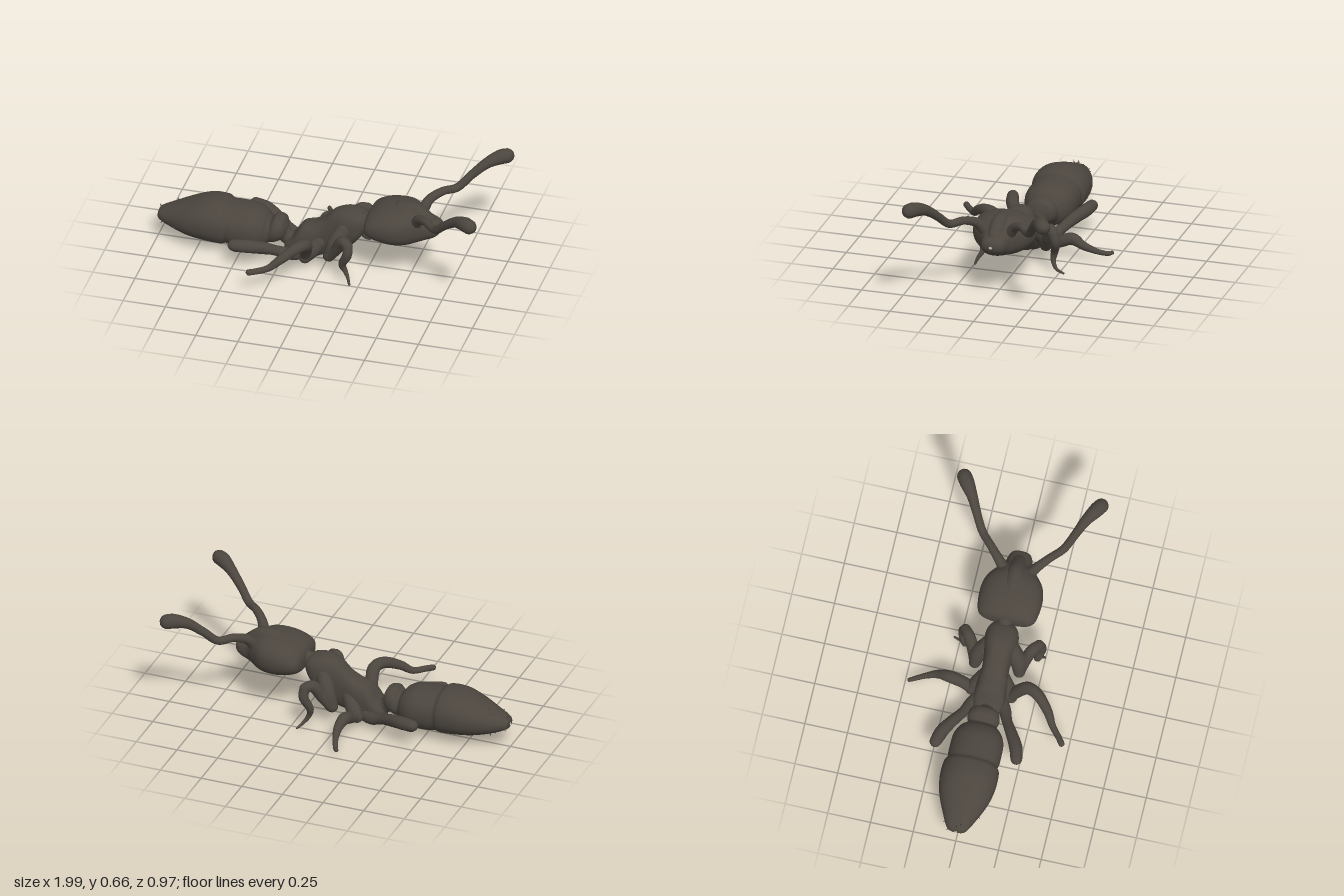
import * as THREE from 'three';

// Skin a list of rings (each an array of Vector3, same count) as one smooth surface
function skin(rings) {
  const n = rings[0].length, index = [];
  for (let i = 0; i < rings.length - 1; i++) {
    for (let j = 0; j < n; j++) {
      const k = (j + 1) % n, a = i * n + j, b = i * n + k, c = a + n, d = b + n;
      index.push(a, b, c, b, d, c);
    }
  }
  const geo = new THREE.BufferGeometry().setFromPoints(rings.flat());
  geo.setIndex(index);
  geo.computeVertexNormals();
  return geo;
}

// Body segment from stations [x, top, bottom, halfWidth], with superellipse sections
function bodyGeometry(stations, power = 2.2, steps = 6, sides = 40) {
  const curve = (f) => new THREE.CatmullRomCurve3(stations.map(f), false, 'catmullrom', 0.5);
  const profile = curve((s) => new THREE.Vector3(s[0], s[1], s[2]));
  const width = curve((s) => new THREE.Vector3(s[3], 0, 0));
  const shape = (v) => Math.sign(v) * Math.abs(v) ** (2 / power);
  const rings = [], count = (stations.length - 1) * steps;
  for (let i = 0; i <= count; i++) {
    const p = profile.getPoint(i / count), w = Math.max(width.getPoint(i / count).x, 0.001);
    const mid = (p.y + p.z) / 2, h = (p.y - p.z) / 2, ring = [];
    for (let j = 0; j < sides; j++) {
      const a = (j / sides) * Math.PI * 2;
      ring.push(new THREE.Vector3(p.x, mid + h * shape(Math.cos(a)), w * shape(Math.sin(a))));
    }
    rings.push(ring);
  }
  return skin(rings);
}

// Round-ended limb through points [x, y, z, radius]
function limbGeometry(points, sides = 16) {
  const path = new THREE.CatmullRomCurve3(points.map((p) => new THREE.Vector3(p[0], p[1], p[2])), false, 'catmullrom', 0.5);
  const radii = new THREE.CatmullRomCurve3(points.map((p) => new THREE.Vector3(p[3], 0, 0)), false, 'catmullrom', 0.5);
  const count = (points.length - 1) * 7;
  path.arcLengthDivisions = 400;
  const frames = path.computeFrenetFrames(count, false);
  const rings = [];
  const addRing = (i, along, scale) => {
    const t = path.getUtoTmapping(i / count);
    const r = radii.getPoint(t).x, c = path.getPoint(t).addScaledVector(frames.tangents[i], along * r);
    rings.push(Array.from({ length: sides }, (_, j) => {
      const a = (j / sides) * Math.PI * 2;
      return c.clone()
        .addScaledVector(frames.normals[i], Math.cos(a) * r * scale)
        .addScaledVector(frames.binormals[i], Math.sin(a) * r * scale);
    }));
  };
  const cap = [0.02, 0.4, 0.8, 1.2];
  cap.forEach((a) => addRing(0, -Math.cos(a), Math.sin(a)));
  for (let i = 0; i <= count; i++) addRing(i, 0, 1);
  cap.slice().reverse().forEach((a) => addRing(count, Math.cos(a), Math.sin(a)));
  return skin(rings);
}

export function createModel() {
  const model = new THREE.Group();
  model.name = 'ant';
  const shell = new THREE.MeshStandardMaterial({ color: 0x4b453e });
  shell.name = 'dark brown shell';

  const add = (name, geometry) => {
    const mesh = new THREE.Mesh(geometry, shell);
    mesh.name = name;
    model.add(mesh);
    return mesh;
  };
  const mirror = (points) => points.map(([x, y, z, r]) => [x, y, -z, r]);
  const pair = (name, points) => {
    add(name + 'Left', limbGeometry(mirror(points)));
    add(name + 'Right', limbGeometry(points));
  };

  // Abdomen with a groove between its two big plates
  add('abdomen', bodyGeometry([
    [-1, 0.16, 0.14, 0.01], [-0.985, 0.185, 0.12, 0.055], [-0.9, 0.225, 0.085, 0.1],
    [-0.8, 0.268, 0.06, 0.143], [-0.7, 0.302, 0.047, 0.164], [-0.61, 0.304, 0.04, 0.162],
    [-0.575, 0.286, 0.046, 0.147], [-0.53, 0.284, 0.036, 0.151], [-0.43, 0.28, 0.036, 0.147],
    [-0.37, 0.255, 0.05, 0.12], [-0.335, 0.22, 0.075, 0.086], [-0.3, 0.248, 0.085, 0.094],
    [-0.255, 0.24, 0.11, 0.08], [-0.235, 0.2, 0.14, 0.04], [-0.23, 0.18, 0.16, 0.005],
  ]));

  // Small bristles around the abdomen tip
  for (let i = 0; i < 14; i++) {
    const a = i * 2.4, x = -0.985 + (i % 7) * 0.018, k = 0.055 + (x + 0.985) * 0.5;
    const bristle = add('tailBristle', new THREE.ConeGeometry(0.008, 0.028, 6));
    bristle.position.set(x, 0.153 + Math.cos(a) * k * 0.75, Math.sin(a) * k);
    const out = new THREE.Vector3(-0.6, Math.cos(a), Math.sin(a)).normalize();
    bristle.quaternion.setFromUnitVectors(new THREE.Vector3(0, 1, 0), out);
  }

  // Waist and neck
  add('waist', limbGeometry([[-0.28, 0.16, 0, 0.05], [-0.23, 0.11, 0, 0.045], [-0.16, 0.09, 0, 0.05]]));
  add('neck', limbGeometry([[0.18, 0.29, 0, 0.06], [0.25, 0.315, 0, 0.045], [0.31, 0.33, 0, 0.06]]));

  // Thorax
  add('thorax', bodyGeometry([
    [-0.25, 0.08, 0.06, 0.01], [-0.235, 0.11, 0.042, 0.06], [-0.19, 0.155, 0.028, 0.085],
    [-0.14, 0.225, 0.016, 0.09], [-0.07, 0.25, 0.022, 0.088], [-0.01, 0.288, 0.048, 0.078],
    [0.05, 0.345, 0.065, 0.08], [0.12, 0.368, 0.11, 0.096], [0.19, 0.362, 0.18, 0.094],
    [0.235, 0.34, 0.25, 0.065], [0.25, 0.31, 0.29, 0.01],
  ], 2.6));

  // Head narrowing to a blunt snout
  add('head', bodyGeometry([
    [0.243, 0.33, 0.3, 0.02], [0.25, 0.368, 0.272, 0.12], [0.275, 0.4, 0.25, 0.163],
    [0.34, 0.432, 0.226, 0.18], [0.42, 0.446, 0.215, 0.182], [0.49, 0.447, 0.219, 0.163],
    [0.55, 0.425, 0.234, 0.118], [0.59, 0.4, 0.245, 0.083], [0.64, 0.376, 0.268, 0.07],
    [0.67, 0.36, 0.295, 0.05], [0.682, 0.335, 0.32, 0.01],
  ], 2.3));
  add('brow', limbGeometry([[0.44, 0.41, 0, 0.05], [0.52, 0.408, 0, 0.052], [0.6, 0.36, 0, 0.045]]));

  // Clubbed antennae
  pair('antenna', [
    [0.545, 0.375, 0.075, 0.034], [0.575, 0.43, 0.115, 0.028], [0.635, 0.458, 0.175, 0.024],
    [0.705, 0.458, 0.238, 0.024], [0.775, 0.525, 0.285, 0.025], [0.85, 0.587, 0.33, 0.031],
    [0.915, 0.613, 0.375, 0.042], [0.952, 0.615, 0.4, 0.043],
  ]);

  // Front legs: coxa hangs down, femur folds up, tibia hangs outside
  pair('frontCoxa', [[0.12, 0.26, 0.07, 0.045], [0.08, 0.19, 0.115, 0.048], [0.045, 0.11, 0.13, 0.035]]);
  pair('frontFemur', [[0.05, 0.105, 0.135, 0.028], [0.1, 0.18, 0.155, 0.034], [0.14, 0.25, 0.185, 0.034], [0.18, 0.245, 0.215, 0.03]]);
  const shin = [[0.18, 0.245, 0.215, 0.03], [0.18, 0.19, 0.23, 0.028], [0.148, 0.12, 0.215, 0.022]];
  add('frontShinRight', limbGeometry([...shin, [0.165, 0.075, 0.212, 0.015], [0.185, 0.045, 0.23, 0.01], [0.198, 0.008, 0.245, 0.007]]));
  add('frontShinLeft', limbGeometry([...mirror(shin), [0.155, 0.07, -0.21, 0.015], [0.18, 0.03, -0.235, 0.01], [0.2, 0.015, -0.285, 0.006]]));

  // Middle legs, posed differently on each side
  pair('middleCoxa', [[-0.03, 0.15, 0.05, 0.045], [-0.07, 0.1, 0.09, 0.045], [-0.1, 0.065, 0.115, 0.036]]);
  add('middleLegRight', limbGeometry([
    [-0.1, 0.065, 0.11, 0.032], [-0.085, 0.14, 0.15, 0.036], [-0.075, 0.205, 0.21, 0.037],
    [-0.11, 0.215, 0.28, 0.033], [-0.18, 0.175, 0.35, 0.027], [-0.24, 0.132, 0.39, 0.02],
    [-0.3, 0.13, 0.44, 0.018], [-0.335, 0.132, 0.465, 0.018],
  ]));
  add('middleLegLeft', limbGeometry([
    [-0.1, 0.065, -0.11, 0.032], [-0.08, 0.085, -0.17, 0.035], [-0.075, 0.115, -0.25, 0.035],
    [-0.065, 0.085, -0.32, 0.025], [-0.08, 0.055, -0.39, 0.017], [-0.105, 0.037, -0.45, 0.014],
    [-0.12, 0.04, -0.475, 0.012],
  ]));

  // Hind legs swept back beside the abdomen
  pair('hindLeg', [
    [-0.13, 0.06, 0.06, 0.042], [-0.19, 0.065, 0.1, 0.036], [-0.26, 0.09, 0.13, 0.03],
    [-0.34, 0.125, 0.175, 0.034], [-0.42, 0.145, 0.217, 0.038], [-0.49, 0.153, 0.237, 0.034],
  ]);
  pair('hindShin', [[-0.48, 0.14, 0.23, 0.03], [-0.38, 0.115, 0.19, 0.024], [-0.28, 0.085, 0.14, 0.018]]);

  return model;
}
